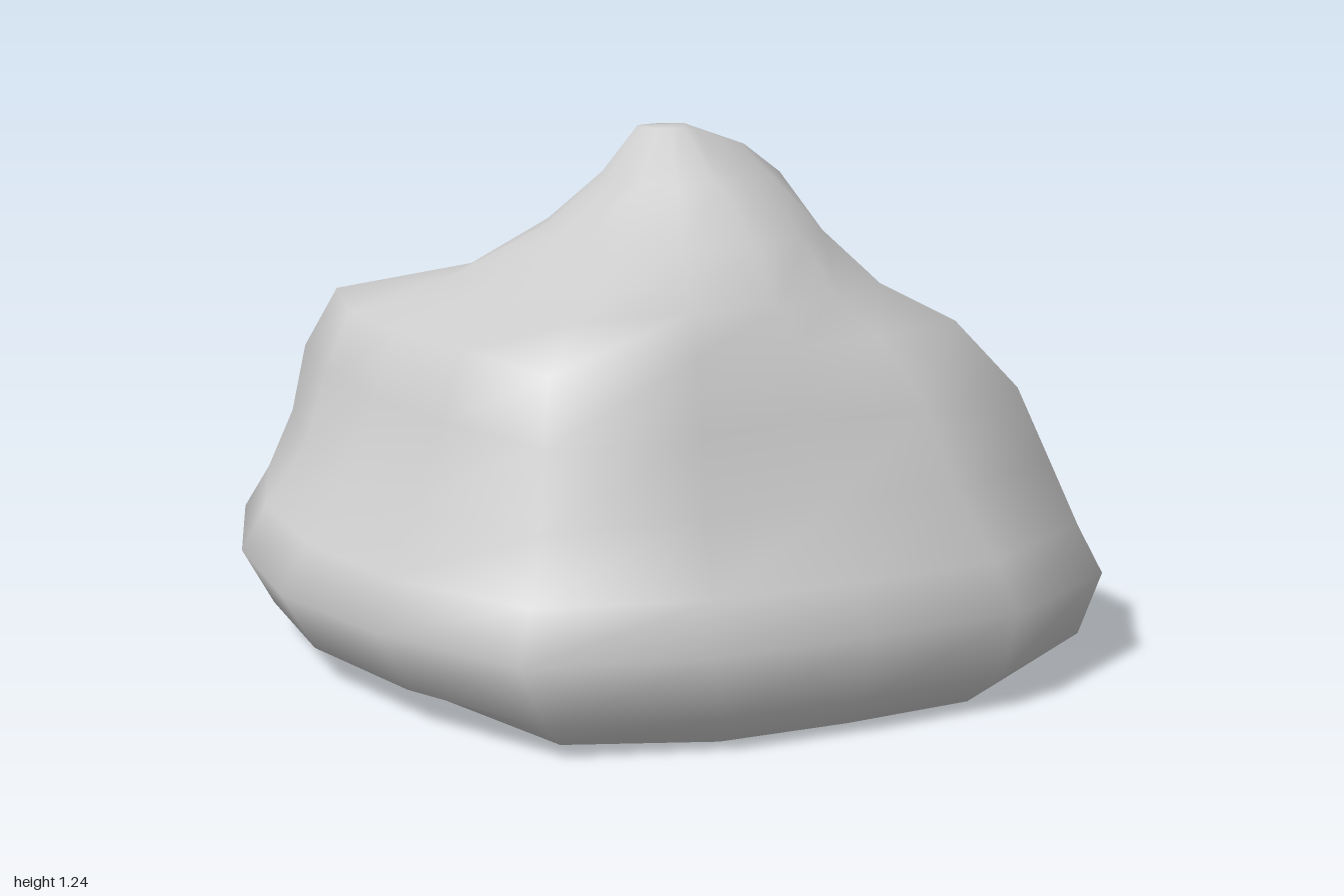
import * as THREE from 'three';

const SIDES = 16; // columns, turning from +x towards +z

// Radii of each level of the boulder, from the widest girth up to the crest
const LEVELS = [
  [0.22, [1.0, 0.92, 1.06, 1.0, 0.92, 0.96, 1.07, 1.0, 1.0, 1.03, 1.13, 1.02, 0.91, 0.93, 1.08, 0.96]],
  [0.33, [0.98, 0.88, 1.0, 0.94, 0.87, 0.9, 1.0, 0.95, 0.93, 0.97, 1.06, 0.95, 0.86, 0.88, 1.03, 0.93]],
  [0.48, [0.76, 0.76, 0.93, 0.83, 0.76, 0.8, 0.94, 0.86, 0.83, 0.87, 0.99, 0.85, 0.78, 0.79, 0.96, 0.79]],
  [0.65, [0.58, 0.63, 0.85, 0.75, 0.68, 0.74, 0.9, 0.78, 0.76, 0.82, 0.95, 0.78, 0.69, 0.72, 0.86, 0.64]],
  [0.8, [0.44, 0.48, 0.7, 0.62, 0.6, 0.64, 0.87, 0.72, 0.7, 0.76, 0.86, 0.66, 0.56, 0.58, 0.66, 0.48]],
  [0.88, [0.38, 0.41, 0.52, 0.5, 0.52, 0.55, 0.68, 0.56, 0.5, 0.52, 0.5, 0.42, 0.38, 0.42, 0.54, 0.42]],
  [1.0, [0.32, 0.34, 0.38, 0.4, 0.42, 0.38, 0.34, 0.29, 0.28, 0.29, 0.3, 0.28, 0.27, 0.29, 0.4, 0.36]],
  [1.12, [0.27, 0.27, 0.26, 0.24, 0.25, 0.22, 0.2, 0.17, 0.16, 0.16, 0.16, 0.14, 0.14, 0.15, 0.25, 0.26]],
];
const CREST = [0.21, 0.17, 0.12, 0.09, 0.08, 0.08, 0.08, 0.08, 0.08, 0.07, 0.05, 0.04, 0.04, 0.04, 0.08, 0.18];

// One closed ring of points; yAt gives the height at each (x, z)
function ring(radii, yAt, sx = 1, sz = sx) {
  return radii.map((r, i) => {
    const a = (i / SIDES) * Math.PI * 2;
    const x = Math.cos(a) * r * sx, z = Math.sin(a) * r * sz;
    return new THREE.Vector3(x, yAt(x, z), z);
  });
}

// Skin over stacked rings, lowest first, with an optional centre point closing either end
function skin(rings, { bottom, top } = {}) {
  const points = rings.flat();
  const index = [];
  const last = (rings.length - 1) * SIDES;
  for (let j = 0; j < rings.length - 1; j++) {
    for (let i = 0; i < SIDES; i++) {
      const n = (i + 1) % SIDES;
      const a = j * SIDES + i, b = j * SIDES + n;
      index.push(a, a + SIDES, b, b, a + SIDES, b + SIDES);
    }
  }
  for (const [tip, start, up] of [[bottom, 0, false], [top, last, true]]) {
    if (!tip) continue;
    const c = points.push(tip) - 1;
    for (let i = 0; i < SIDES; i++) {
      const a = start + i, b = start + ((i + 1) % SIDES);
      index.push(c, ...(up ? [b, a] : [a, b]));
    }
  }
  const geometry = new THREE.BufferGeometry().setFromPoints(points);
  geometry.setIndex(index);
  geometry.computeVertexNormals();
  return geometry;
}

export function createModel() {
  const group = new THREE.Group();
  group.name = 'boulder';
  const material = new THREE.MeshStandardMaterial({ color: 0xcccccc });
  const add = (name, geometry) => {
    const mesh = new THREE.Mesh(geometry, material);
    mesh.name = name;
    group.add(mesh);
  };

  // Slightly arched underside and the rounded edge above it
  const girth = LEVELS[0][1];
  const arch = (x, z) => 0.05 * (1 - Math.min(1, z * z * 1.7));
  const foot = ring(girth, arch, 0.83, 0.9);
  const edge = ring(girth, () => 0.08, 0.92, 0.99);

  // Flared body with shoulders at the corners, ending in a crest that dips towards +x
  const body = LEVELS.map(([y, radii]) => ring(radii, () => y));
  const crest = ring(CREST, (x) => 1.235 - 0.27 * Math.max(0, x));

  add('rockBody', skin([foot, edge, ...body, crest], { top: new THREE.Vector3(0.03, 1.24, 0.03) }));
  add('underside', skin([foot], { bottom: new THREE.Vector3(0, 0.05, 0) }));
  return group;
}
